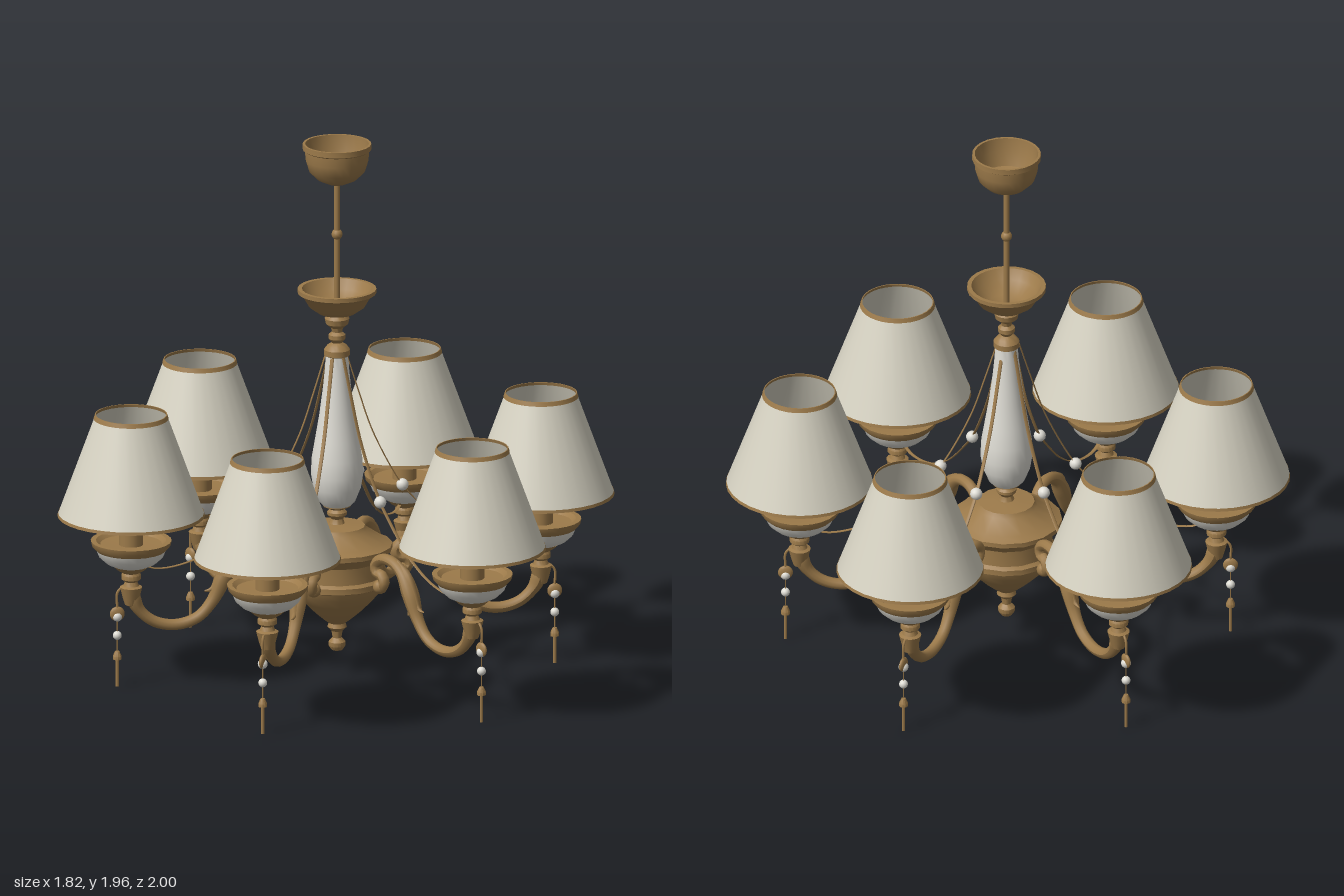
import * as THREE from 'three';
import { toCreasedNormals } from 'three/addons/utils/BufferGeometryUtils.js';

const material = (name, color) => {
  const m = new THREE.MeshStandardMaterial({ color, side: THREE.DoubleSide });
  m.name = name;
  return m;
};

export function createModel() {
  const brass = material('antique brass', 0x9c7a4a);
  const fabric = material('ivory', 0xd6d2c2);
  const glass = material('white glass', 0xdedcd4);

  const mesh = (name, geometry, mat, x = 0, y = 0, z = 0) => {
    const m = new THREE.Mesh(geometry, mat);
    m.name = name;
    m.position.set(x, y, z);
    return m;
  };
  // Turned part from [radius, height] pairs, bottom to top
  const turned = (profile, sides = 24, crease = 0.6) => toCreasedNormals(
    new THREE.LatheGeometry(profile.map(([r, y]) => new THREE.Vector2(r, y)), sides), crease);

  // Tube in the xy plane whose radius follows a rule along its length
  const taperedTube = (pts, radius, segments, sides) => {
    const path = new THREE.CatmullRomCurve3(pts.map(([x, y]) => new THREE.Vector3(x, y, 0)));
    const geo = new THREE.TubeGeometry(path, segments, 1, sides);
    const pos = geo.attributes.position;
    const v = new THREE.Vector3();
    for (let i = 0; i <= segments; i++) {
      const c = path.getPointAt(i / segments);
      const r = radius(i / segments);
      for (let j = 0; j <= sides; j++) {
        const k = i * (sides + 1) + j;
        v.fromBufferAttribute(pos, k).sub(c).multiplyScalar(r).add(c);
        pos.setXYZ(k, v.x, v.y, v.z);
      }
    }
    geo.computeVertexNormals();
    return geo;
  };

  const model = new THREE.Group();
  model.name = 'chandelier';

  // Central column
  const column = new THREE.Group();
  column.name = 'column';
  column.position.z = -0.012;
  model.add(column);
  column.add(
    mesh('ceilingCanopy', turned([[0, 1.81], [0.03, 1.812], [0.07, 1.83], [0.1, 1.86], [0.112, 1.9],
      [0.114, 1.935], [0.122, 1.94], [0.122, 1.96], [0.113, 1.96], [0.108, 1.91], [0.09, 1.86], [0, 1.83]]), brass),
    mesh('rod', new THREE.CylinderGeometry(0.011, 0.011, 0.5, 12), brass, 0, 1.58),
    mesh('rodKnob', new THREE.SphereGeometry(0.02, 12, 8), brass, 0, 1.625),
    mesh('upperDish', turned([[0.03, 1.17], [0.046, 1.18], [0.046, 1.2], [0.035, 1.215], [0.018, 1.225],
      [0.03, 1.24], [0.03, 1.255], [0.018, 1.265], [0.022, 1.28], [0.04, 1.295], [0.044, 1.315], [0.035, 1.328],
      [0.065, 1.335], [0.1, 1.36], [0.12, 1.395], [0.14, 1.41], [0.14, 1.425], [0.125, 1.425],
      [0.105, 1.39], [0.06, 1.355], [0, 1.35]]), brass),
    mesh('porcelainColumn', turned([[0.045, 0.62], [0.065, 0.64], [0.085, 0.69], [0.093, 0.74], [0.09, 0.8],
      [0.078, 0.87], [0.063, 0.96], [0.05, 1.06], [0.043, 1.13], [0.04, 1.18]]), glass),
    mesh('columnFoot', turned([[0.05, 0.53], [0.03, 0.55], [0.022, 0.575], [0.035, 0.59], [0.035, 0.6],
      [0.025, 0.61], [0.05, 0.622], [0.05, 0.632], [0, 0.635]]), brass),
    mesh('body', turned([[0, 0.085], [0.02, 0.09], [0.03, 0.105], [0.03, 0.12], [0.016, 0.135], [0.02, 0.16],
      [0.035, 0.175], [0.03, 0.19], [0.05, 0.205], [0.085, 0.235], [0.125, 0.275], [0.155, 0.31], [0.165, 0.335],
      [0.176, 0.34], [0.176, 0.36], [0.163, 0.37], [0.163, 0.43], [0.175, 0.445], [0.198, 0.465], [0.198, 0.482],
      [0.17, 0.495], [0.11, 0.535], [0.1, 0.55], [0.05, 0.555], [0, 0.56]], 16), brass),
  );

  // Shared geometries for the six arms
  const armPath = [[0.245, 0.375], [0.262, 0.395], [0.25, 0.42], [0.222, 0.425], [0.215, 0.455], [0.25, 0.482],
    [0.31, 0.482], [0.365, 0.45], [0.405, 0.385], [0.445, 0.3], [0.5, 0.24], [0.58, 0.217], [0.66, 0.235],
    [0.715, 0.285], [0.742, 0.35]];
  const bump = (t, at, w) => Math.exp(-(((t - at) / w) ** 2));
  const armGeo = taperedTube(armPath,
    t => 0.02 + 0.011 * bump(t, 0.42, 0.09) + 0.008 * bump(t, 0.97, 0.05), 60, 10);
  const leafGeo = taperedTube([[0.33, 0.49], [0.385, 0.45], [0.42, 0.39], [0.45, 0.34], [0.475, 0.335]],
    t => 0.003 + 0.015 * Math.sin(Math.PI * Math.min(1, t * 0.9 + 0.1)), 16, 6);
  const ribbonGeo = taperedTube([[0.04, 1.18], [0.08, 1.05], [0.13, 0.9], [0.2, 0.755], [0.24, 0.69], [0.29, 0.63],
    [0.4, 0.52], [0.52, 0.45], [0.65, 0.428], [0.72, 0.455]], () => 0.0025, 48, 6);
  ribbonGeo.scale(1, 1, 2.8);
  const stemGeo = turned([[0, 0.29], [0.022, 0.3], [0.03, 0.325], [0.04, 0.365], [0.028, 0.37], [0.022, 0.385],
    [0.035, 0.395], [0.035, 0.41], [0.03, 0.418], [0.05, 0.43], [0.066, 0.445]], 16);
  const bowlGeo = turned([[0.06, 0.443], [0.09, 0.457], [0.115, 0.48], [0.125, 0.505]]);
  const rimGeo = turned([[0.124, 0.503], [0.14, 0.52], [0.144, 0.538], [0.125, 0.538], [0.11, 0.525], [0, 0.52]]);
  const shadeGeo = turned([[0.26, 0.635], [0.127, 1.0]], 32);
  const lowerTrim = turned([[0.262, 0.63], [0.2595, 0.641]], 32);
  const upperTrim = turned([[0.1335, 0.988], [0.1285, 1.003], [0.125, 1.003], [0.128, 0.992]], 32);
  const bead = new THREE.SphereGeometry(1, 14, 10);
  const beadMesh = (name, mat, r, x, y, flat = 1) => {
    const b = mesh(name, bead, mat, x, y);
    b.scale.set(r, r, r * flat);
    return b;
  };

  // Arms radiate along local +x
  for (let i = 0; i < 6; i++) {
    const arm = new THREE.Group();
    arm.name = 'arm';
    arm.rotation.y = i * Math.PI / 3 - Math.PI / 2 - 0.03;
    model.add(arm);
    arm.add(
      mesh('scrollArm', armGeo, brass),
      beadMesh('scrollEnd', brass, 0.026, 0.24, 0.378),
      mesh('armLeaf', leafGeo, brass),
      mesh('ribbon', ribbonGeo, brass),
      beadMesh('ribbonBead', glass, 0.022, 0.24, 0.69),
    );

    // Lamp
    const lamp = new THREE.Group();
    lamp.name = 'lamp';
    lamp.position.x = 0.74;
    arm.add(lamp);
    lamp.add(
      mesh('cupStem', stemGeo, brass),
      mesh('cupBowl', bowlGeo, glass),
      mesh('cupRim', rimGeo, brass),
      mesh('candle', new THREE.CylinderGeometry(0.043, 0.043, 0.27, 16), brass, 0, 0.655),
      beadMesh('bulb', glass, 0.05, 0, 0.825),
      mesh('shade', shadeGeo, fabric),
      mesh('shadeLowerTrim', lowerTrim, brass),
      mesh('shadeUpperTrim', upperTrim, brass),
    );

    // Hanging pendant
    const pendant = new THREE.Group();
    pendant.name = 'pendant';
    pendant.position.x = 0.79;
    arm.add(pendant);
    pendant.add(
      mesh('pendantHook', taperedTube([[-0.04, 0.35], [-0.015, 0.362], [0, 0.345], [0, 0.29]], () => 0.005, 10, 6), brass),
      mesh('pendantWire', new THREE.CylinderGeometry(0.002, 0.002, 0.2, 5), brass, 0, 0.2),
      beadMesh('pendantMedallion', brass, 0.027, 0, 0.268, 0.4),
      beadMesh('pendantUpperBead', glass, 0.018, 0, 0.258),
      beadMesh('pendantLowerBead', glass, 0.016, 0, 0.188),
      mesh('pendantCap', turned([[0.016, 0.1], [0.016, 0.112], [0.008, 0.13], [0, 0.132]], 10), brass),
      mesh('pendantDrop', new THREE.CylinderGeometry(0.006, 0.006, 0.102, 8), brass, 0, 0.051),
    );
  }
  return model;
}
